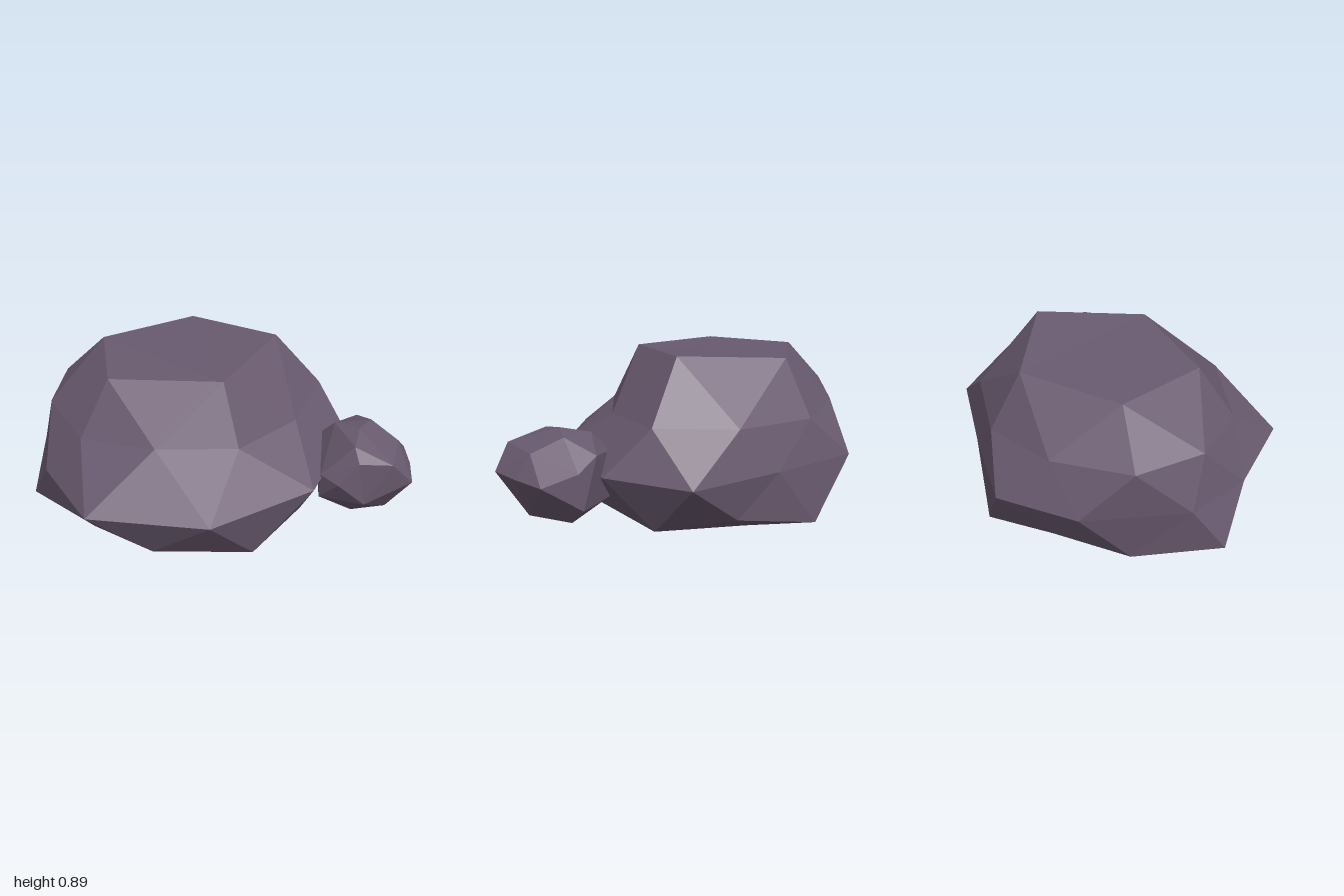
import * as THREE from 'three';
import { ConvexGeometry } from 'three/addons/geometries/ConvexGeometry.js';

// Skins a star-shaped set of corners: facets come from the hull of their
// directions on a sphere, then every corner returns to its own place.
function rockGeometry(corners, centre, radii) {
  const points = corners.map((c) => new THREE.Vector3(...c));
  const dirs = points.map((p) => p.clone().sub(centre).divide(radii).normalize());
  const geometry = new ConvexGeometry(dirs);
  const pos = geometry.attributes.position;
  const v = new THREE.Vector3();
  for (let i = 0; i < pos.count; i++) {
    v.fromBufferAttribute(pos, i);
    let best = 0;
    dirs.forEach((d, k) => {
      if (d.distanceToSquared(v) < dirs[best].distanceToSquared(v)) best = k;
    });
    pos.setXYZ(i, ...points[best].toArray());
  }
  geometry.computeVertexNormals();
  return geometry;
}

export function createModel() {
  const group = new THREE.Group();
  group.name = 'rocks';
  const material = new THREE.MeshStandardMaterial({ color: 0x6a5b70, flatShading: true, roughness: 0.9 });
  const addRock = (name, corners, centre, radii) => {
    const mesh = new THREE.Mesh(rockGeometry(corners, centre, radii), material);
    mesh.name = name;
    group.add(mesh);
  };

  // Level rings of the boulder, each corner as [x, z]
  const waist = [[-0.18, 0.825], [0.39, 0.61], [0.74, 0.12], [0.72, -0.36], [0.27, -0.61],
    [-0.18, -0.83], [-0.58, -0.65], [-0.91, -0.21], [-0.92, 0.16], [-0.75, 0.63]];
  const base = [[-0.6, 0.2], [-0.2, 0.32], [0.2, 0.25], [0.2, -0.4], [-0.2, -0.55], [-0.55, -0.3]];
  const boulder = [
    // flat top
    [-0.55, 0.85, -0.34], [-0.02, 0.86, -0.52], [0.36, 0.895, -0.09], [-0.02, 0.865, 0.35], [-0.57, 0.845, 0.17],
    // shoulders
    [-0.39, 0.63, 0.53], [0.03, 0.56, 0.49], [0.38, 0.57, 0.28], [0.62, 0.59, -0.09], [0.42, 0.58, -0.46],
    [0.03, 0.57, -0.68], [-0.38, 0.59, -0.65], [-0.76, 0.62, -0.46], [-0.86, 0.615, -0.1], [-0.73, 0.58, 0.28],
    ...waist.map(([x, z]) => [x, 0.345, z]),
    // lower edge
    [0.08, 0.02, 0.63], [0.4, 0.08, 0.38], [0.59, 0.05, -0.08], [0.43, 0.12, -0.46], [0.04, 0.02, -0.73],
    [-0.33, 0.07, -0.6], [-0.69, 0.03, -0.4], [-1, 0.08, -0.05], [-0.7, 0.1, 0.36], [-0.43, 0.08, 0.6],
    ...base.map(([x, z]) => [x, 0, z]),
  ];
  addRock('boulder', boulder, new THREE.Vector3(-0.15, 0.35, 0), new THREE.Vector3(0.85, 0.5, 0.8));

  const smallRock = [
    // crown
    [0.69, 0.555, 0.4], [0.6, 0.525, 0.27], [0.62, 0.525, 0.53], [0.79, 0.54, 0.3], [0.9, 0.47, 0.42],
    // sides
    [0.78, 0.47, 0.12], [0.62, 0.47, 0.61], [0.78, 0.47, 0.65], [1, 0.345, 0.29], [0.96, 0.35, 0.47],
    [0.9, 0.35, 0.64], [0.53, 0.42, 0.2], [0.46, 0.36, 0.5], [0.88, 0.4, 0.16], [0.52, 0.35, 0.6],
    // underside
    [0.46, 0.22, 0.49], [0.66, 0.23, 0.62], [0.64, 0.12, 0.5], [0.83, 0.12, 0.5],
    [0.82, 0.12, 0.25], [0.86, 0.21, 0.15], [0.6, 0.2, 0.17], [0.55, 0.15, 0.35],
  ];
  addRock('smallRock', smallRock, new THREE.Vector3(0.73, 0.33, 0.39), new THREE.Vector3(0.27, 0.22, 0.27));

  return group;
}
